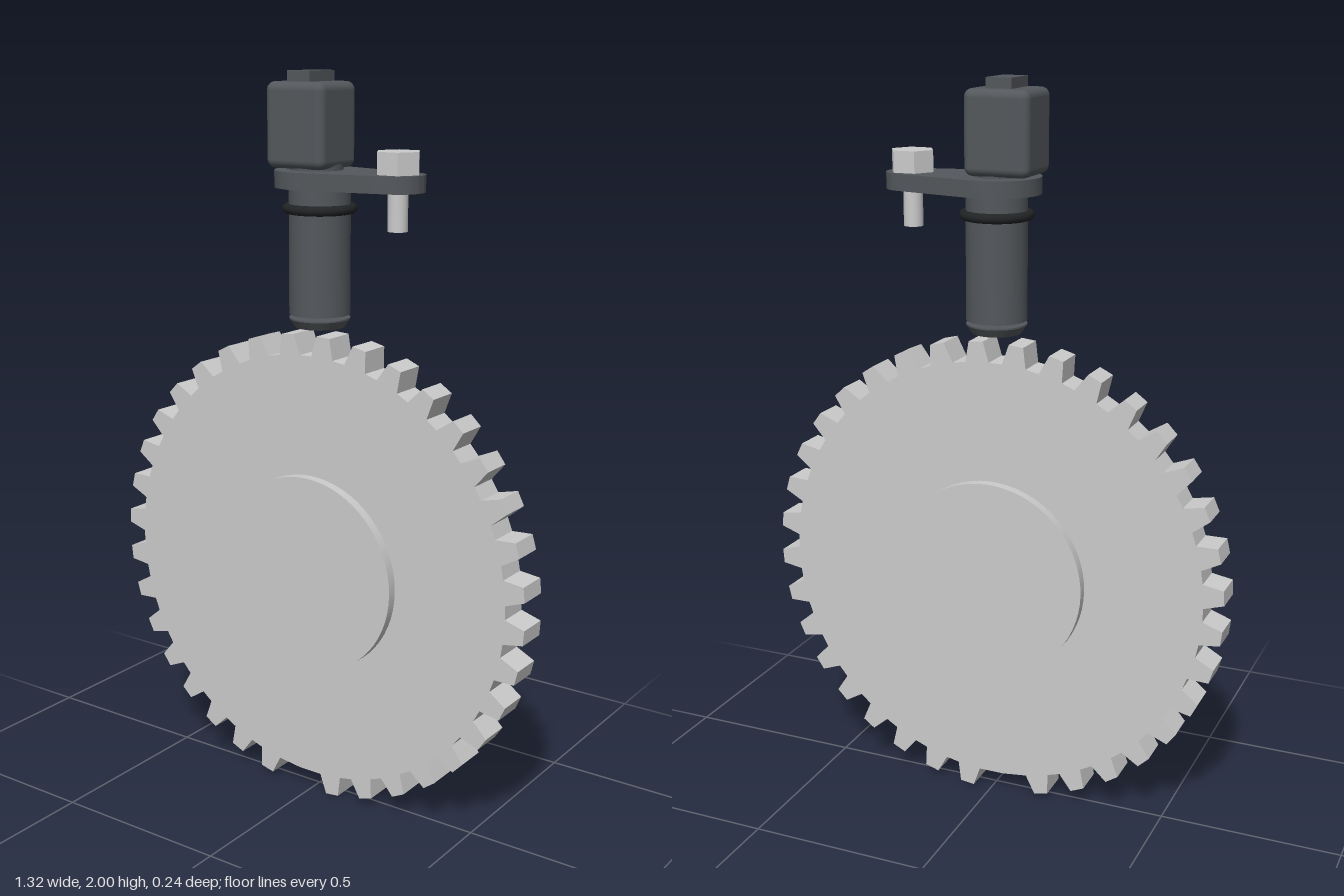
import * as THREE from 'three';
import { toCreasedNormals } from 'three/addons/utils/BufferGeometryUtils.js';
import { RoundedBoxGeometry } from 'three/addons/geometries/RoundedBoxGeometry.js';

const steel = new THREE.MeshStandardMaterial({ color: 0xcccccc });
const plastic = new THREE.MeshStandardMaterial({ color: 0x54585c });
const rubber = new THREE.MeshStandardMaterial({ color: 0x222325 });

function part(parent, name, geometry, material, x = 0, y = 0, z = 0) {
  const mesh = new THREE.Mesh(geometry, material);
  mesh.name = name;
  mesh.position.set(x, y, z);
  parent.add(mesh);
  return mesh;
}

// Sharp-edged turned part from [radius, height] pairs, bottom to top
function turned(profile) {
  const points = profile.map(([r, y]) => new THREE.Vector2(r, y));
  return toCreasedNormals(new THREE.LatheGeometry(points, 48), 0.5);
}

// Toothed wheel outline: 36 positions with one tooth left out at the bottom
function gearShape() {
  const count = 36, missing = 18, root = 0.605, tip = 0.661;
  const pitch = (Math.PI * 2) / count, start = THREE.MathUtils.degToRad(3.6);
  const points = [];
  const add = (r, a) => points.push(new THREE.Vector2(Math.sin(a) * r, Math.cos(a) * r));
  for (let i = 0; i < count; i++) {
    const a = start + i * pitch;
    if (i === missing) {
      add(root, a);
      continue;
    }
    add(root, a - 0.056);
    add(tip, a - 0.031);
    add(tip, a + 0.031);
    add(root, a + 0.056);
  }
  return new THREE.Shape(points.reverse());
}

// Teardrop flange: two circles joined by their common tangents
function flangeShape(R, r, distance) {
  const a = Math.acos((R - r) / distance);
  const shape = new THREE.Shape();
  shape.absarc(0, 0, R, a, Math.PI * 2 - a, false);
  shape.absarc(distance, 0, r, -a, a, false);
  shape.closePath();
  return shape;
}

export function createModel() {
  const model = new THREE.Group();
  model.name = 'gearWithSpeedSensor';

  // Trigger wheel with a raised hub on both sides
  const wheel = new THREE.Group();
  wheel.name = 'toothedWheel';
  wheel.position.y = 0.661;
  model.add(wheel);
  const gear = new THREE.ExtrudeGeometry(gearShape(), { depth: 0.09, bevelEnabled: false });
  part(wheel, 'gear', gear, steel, 0, 0, -0.045);
  const hub = new THREE.CylinderGeometry(0.275, 0.275, 0.146, 64).rotateX(Math.PI / 2);
  part(wheel, 'hub', hub, steel);

  // Sensor barrel with seal groove, and the separate tip just below it
  const sensor = new THREE.Group();
  sensor.name = 'sensor';
  model.add(sensor);
  part(sensor, 'barrel', turned([
    [0, 1.375], [0.081, 1.375], [0.081, 1.638], [0.074, 1.638],
    [0.074, 1.664], [0.081, 1.664], [0.081, 1.71], [0, 1.71],
  ]), plastic);
  part(sensor, 'sensingTip', turned([
    [0, 1.34], [0.066, 1.34], [0.081, 1.362], [0.081, 1.366], [0, 1.366],
  ]), plastic);
  const ring = new THREE.TorusGeometry(0.085, 0.013, 12, 48).rotateX(Math.PI / 2);
  part(sensor, 'sealRing', ring, rubber, 0, 1.652);

  // Mounting flange
  const flange = new THREE.ExtrudeGeometry(flangeShape(0.118, 0.07, 0.24), {
    depth: 0.044, bevelEnabled: false, curveSegments: 32,
  }).rotateX(-Math.PI / 2);
  part(sensor, 'flange', toCreasedNormals(flange, 0.5), plastic, 0, 1.707);

  // Connector housing and top key
  part(sensor, 'connectorHousing', new RoundedBoxGeometry(0.18, 0.218, 0.164, 4, 0.022),
    plastic, -0.028, 1.864);
  part(sensor, 'housingNeck', new THREE.CylinderGeometry(0.07, 0.07, 0.03, 32),
    plastic, -0.01, 1.757);
  part(sensor, 'connectorKey', new THREE.BoxGeometry(0.07, 0.05, 0.11), plastic, -0.028, 1.975);

  // Hex bolt through the flange
  const bolt = new THREE.Group();
  bolt.name = 'mountingBolt';
  bolt.position.x = 0.24;
  sensor.add(bolt);
  const head = new THREE.CylinderGeometry(0.06, 0.06, 0.058, 6).rotateY(Math.PI / 2);
  part(bolt, 'boltHead', toCreasedNormals(head, 0.3), steel, 0, 1.779);
  part(bolt, 'boltShank', new THREE.CylinderGeometry(0.026, 0.026, 0.15, 24), steel, 0, 1.683);

  return model;
}
